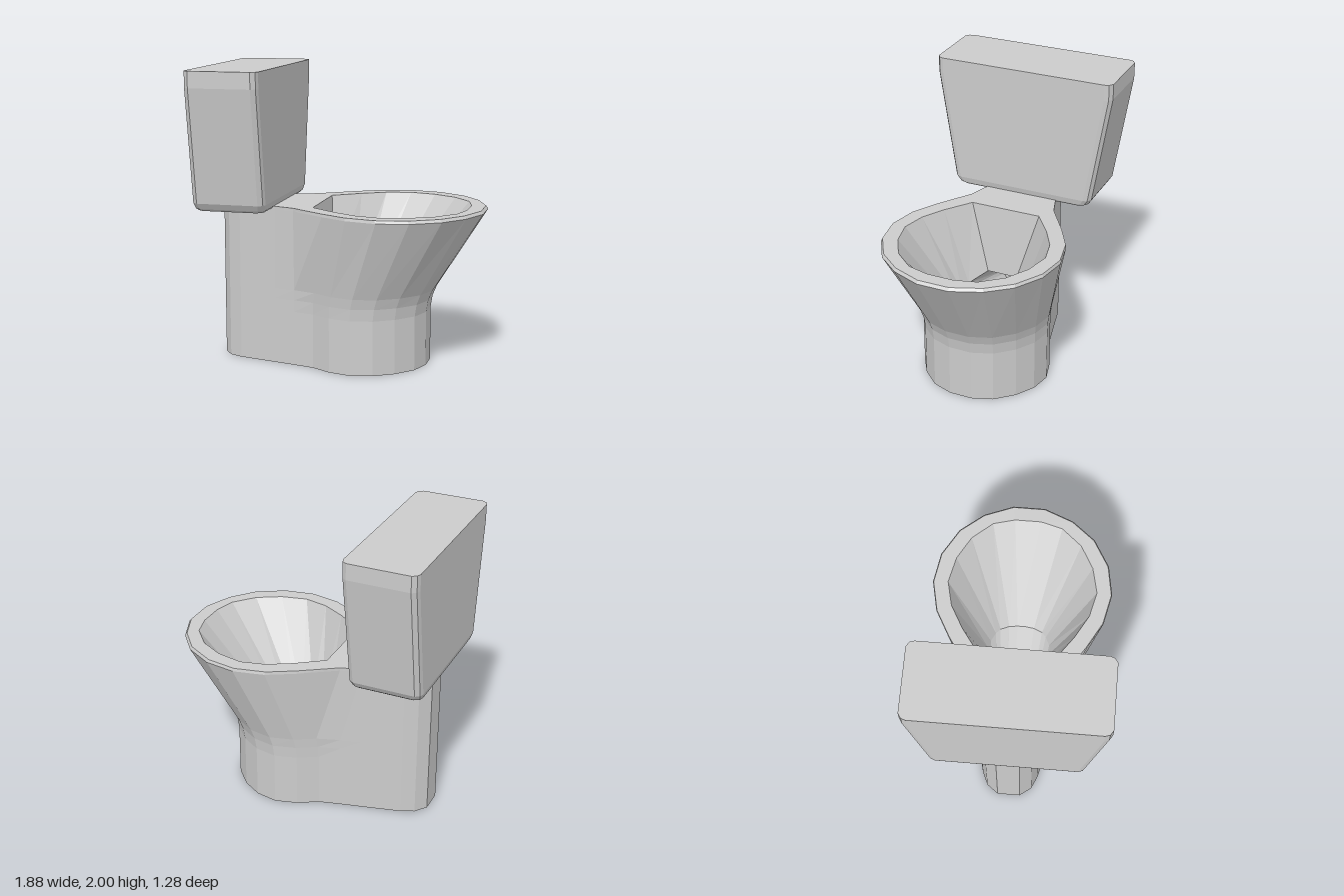
import * as THREE from 'three';

const material = new THREE.MeshStandardMaterial({ color: 0xcccccc, flatShading: true, side: THREE.DoubleSide });

// Full outline from a half outline of [x, z] pairs running front to back
const mirror = (half) => [...half, ...half.map(([x, z]) => [x, -z]).reverse()];

const mix = (a, b, t) => a.map((p, i) => p.map((v, k) => v + (b[i][k] - v) * t));

// Skin through rings of [x, y, z] points, with optional flat caps
function loft(name, rings, capFirst, capLast) {
  const n = rings[0].length;
  const index = [];
  for (let r = 0; r < rings.length - 1; r++) {
    for (let j = 0; j < n; j++) {
      const a = r * n + j, b = r * n + (j + 1) % n;
      index.push(a, a + n, b, b, a + n, b + n);
    }
  }
  const last = (rings.length - 1) * n;
  for (let j = 1; j < n - 1; j++) {
    if (capFirst) index.push(0, j, j + 1);
    if (capLast) index.push(last, last + j + 1, last + j);
  }
  const geometry = new THREE.BufferGeometry();
  geometry.setAttribute('position', new THREE.Float32BufferAttribute(rings.flat(2), 3));
  geometry.setIndex(index);
  const flat = geometry.toNonIndexed();
  flat.computeVertexNormals();
  const mesh = new THREE.Mesh(flat, material);
  mesh.name = name;
  return mesh;
}

const atHeight = (outline, y) => outline.map(([x, z]) => [x, y, z]);

export function createModel() {
  const group = new THREE.Group();
  group.name = 'toilet';

  // Pedestal: straight foot flaring into the bowl, tapering to a narrow rounded back
  const back = [[-0.44, 0.265], [-0.71, 0.2], [-0.80, 0.16], [-0.86, 0.08]];
  const foot = mirror([[0.56, 0.08], [0.51, 0.22], [0.40, 0.34], [0.27, 0.42], [0.12, 0.45],
    [-0.03, 0.41], [-0.16, 0.335], [-0.30, 0.298], ...back]);
  const brim = mirror([[0.94, 0.11], [0.86, 0.31], [0.73, 0.47], [0.54, 0.58], [0.33, 0.615],
    [0.12, 0.57], [-0.06, 0.47], [-0.30, 0.31], ...back]);
  const rimEdge = mix(foot, brim, 0.96);
  const levels = [[0, 0], [0.37, 0], [0.45, 0.035], [0.52, 0.11], [1.06, 1], [1.08, 0.96]];
  group.add(loft('pedestal', levels.map(([y, t]) => atHeight(mix(foot, brim, t), y))));

  // Bowl interior: funnel into a tilted throat, then a short drain running back under the deck
  const opening = mirror([[0.83, 0.09], [0.79, 0.24], [0.67, 0.38], [0.51, 0.47], [0.33, 0.51],
    [0.16, 0.47], [0, 0.38], [-0.18, 0.25]]);
  const throat = mirror([[0.29, 0.03], [0.28, 0.09], [0.25, 0.15], [0.21, 0.18], [0.14, 0.21],
    [0.07, 0.22], [0, 0.20], [-0.13, 0.11]]);
  const throatRing = throat.map(([x, z]) => [x, 0.54 - 0.4 * x, z]);
  const drainRing = throatRing.map(([, y, z]) => [-0.45, y - 0.09, z * 0.6]);
  group.add(loft('bowlInterior', [atHeight(opening, 1.08), throatRing, drainRing], false, true));

  // Flat rim and rear deck around the opening
  const toVectors = (outline) => outline.map(([x, z]) => new THREE.Vector2(x, -z));
  const deck = new THREE.Shape(toVectors(rimEdge));
  deck.holes.push(new THREE.Path(toVectors(opening)));
  const rim = new THREE.Mesh(new THREE.ShapeGeometry(deck).rotateX(-Math.PI / 2).translate(0, 1.08, 0), material);
  rim.name = 'rimAndDeck';
  group.add(rim);

  // Tank: chamfered rectangle that widens upwards
  const tankRing = ([y, hx, hz]) => atHeight(mirror([
    [hx, hz - 0.05], [hx - 0.01, hz - 0.02], [hx - 0.04, hz],
    [-hx + 0.04, hz], [-hx + 0.01, hz - 0.02], [-hx, hz - 0.05],
  ]).map(([x, z]) => [x - 0.69, z]), y);
  const tankLevels = [[1.065, 0.225, 0.47], [1.08, 0.24, 0.49], [1.12, 0.25, 0.515], [1.89, 0.25, 0.64], [2, 0.25, 0.64]];
  group.add(loft('tank', tankLevels.map(tankRing), true, true));

  return group;
}
